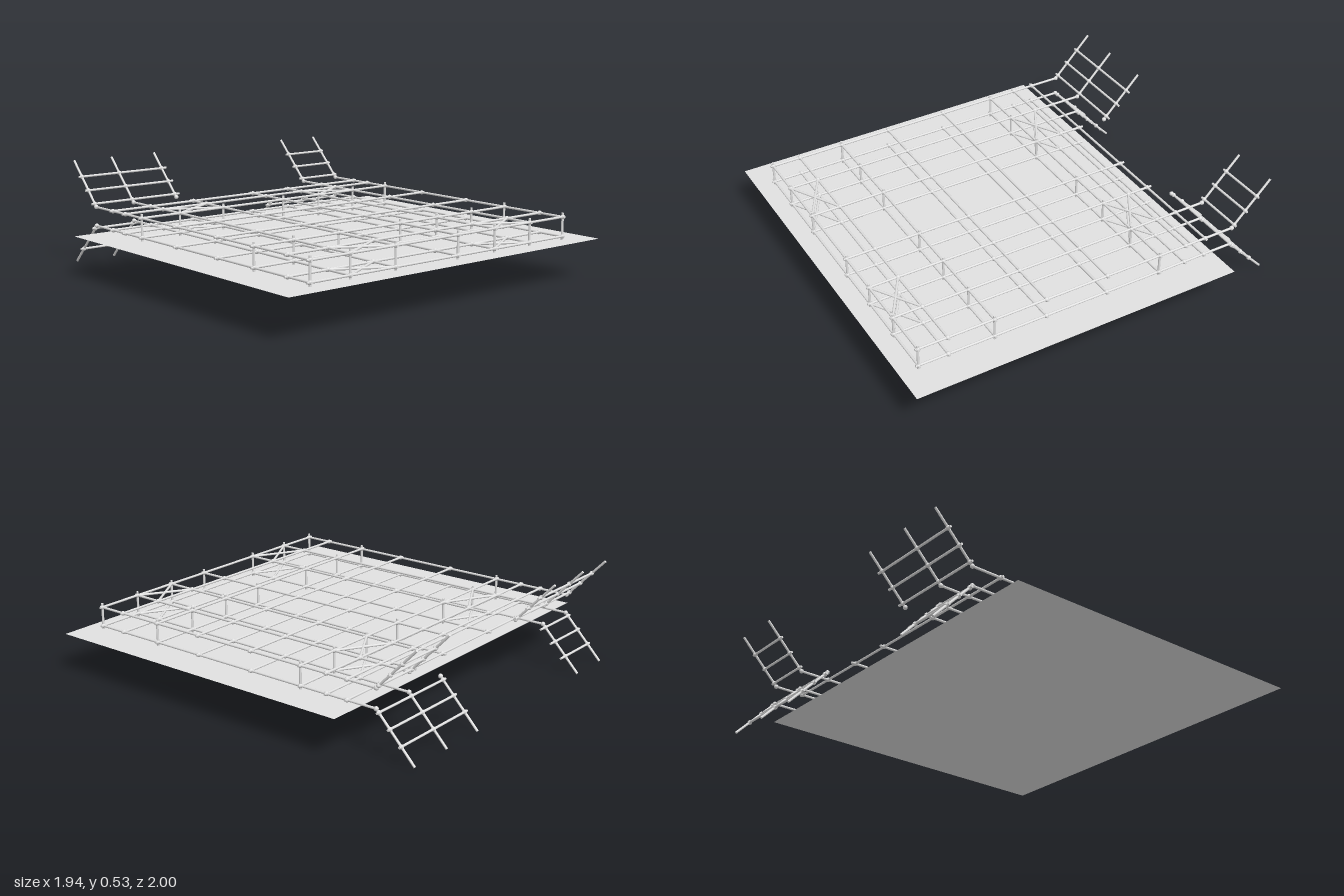
import * as THREE from 'three';

const paleGrey = new THREE.MeshStandardMaterial({ color: 0xe1e1e1, side: THREE.DoubleSide });
paleGrey.name = 'paleGrey';

const R = 0.006;
const LOW = 0.22, HIGH = 0.316, BEND = -0.79;
const XS = [-0.784, -0.562, -0.298, 0.088, 0.329, 0.57, 0.807];
const ZS = [-0.632, -0.518, -0.37, -0.076, 0.252, 0.522, 0.757, 0.905];
const V = (x, y, z) => new THREE.Vector3(x, y, z);
const jointGeometry = new THREE.SphereGeometry(0.0115, 10, 8);

// Round tube between two points
function rod(parent, name, a, b, r = R) {
  const mesh = new THREE.Mesh(new THREE.CylinderGeometry(r, r, a.distanceTo(b), 10), paleGrey);
  mesh.position.copy(a).add(b).multiplyScalar(0.5);
  mesh.quaternion.setFromUnitVectors(V(0, 1, 0), b.clone().sub(a).normalize());
  mesh.name = name;
  parent.add(mesh);
}

// Small clamp where two tubes cross
function joint(parent, p) {
  const mesh = new THREE.Mesh(jointGeometry, paleGrey);
  mesh.position.copy(p);
  mesh.name = 'clamp';
  parent.add(mesh);
}

// One horizontal grid of tubes; rails in longRails run on to the ramps
function layer(name, y, longRails) {
  const g = new THREE.Group();
  g.name = name;
  XS.forEach((x, i) => {
    const back = longRails.includes(i) ? BEND : -0.655;
    rod(g, 'lengthwiseTube', V(x, y, back), V(x, y, 0.918));
    for (const z of ZS) joint(g, V(x, y, z));
  });
  for (const z of ZS) rod(g, 'crosswiseTube', V(-0.802, y, z), V(0.822, y, z));
  // Flat cross braces in four bays
  for (const [a, b] of [[1, 2], [4, 5]]) {
    for (const [c, d] of [[1, 2], [6, 7]]) {
      rod(g, 'crossBrace', V(XS[a], y, ZS[c]), V(XS[b], y, ZS[d]));
      rod(g, 'crossBrace', V(XS[a], y, ZS[d]), V(XS[b], y, ZS[c]));
    }
  }
  return g;
}

// Sloped ladder at the back: dir +1 rises, -1 falls
function ramp(name, y, dir, rails, x0, x1) {
  const g = new THREE.Group();
  g.name = name;
  const at = (x, z) => V(x, y + dir * (BEND - z) * 1.04, z);
  for (const i of rails) {
    rod(g, 'rampRail', at(XS[i], BEND), at(XS[i], -0.996));
    joint(g, at(XS[i], BEND));
  }
  for (const z of [-0.804, -0.863, -0.924]) {
    rod(g, 'rampRung', at(x0, z), at(x1, z));
    for (const i of rails) joint(g, at(XS[i], z));
  }
  return g;
}

export function createModel() {
  const model = new THREE.Group();
  model.name = 'scaffoldFrame';

  // Thin ground sheet under the grid
  const sheet = new THREE.Mesh(new THREE.PlaneGeometry(1.944, 1.692), paleGrey);
  sheet.rotation.x = -Math.PI / 2;
  sheet.position.set(0, 0.202, 0.152);
  sheet.name = 'groundSheet';
  model.add(sheet);

  model.add(layer('lowerGrid', LOW, [0, 1, 5, 6]));
  model.add(layer('upperGrid', HIGH, [0, 1, 5, 6]));

  // Upright posts in three rows
  const posts = new THREE.Group();
  posts.name = 'posts';
  for (const z of [ZS[2], ZS[5], ZS[7]]) {
    for (const x of XS) rod(posts, 'post', V(x, 0.203, z), V(x, 0.336, z));
  }
  model.add(posts);

  model.add(ramp('upperRightRamp', HIGH, 1, [0, 1, 2], -0.802, -0.27));
  model.add(ramp('upperLeftRamp', HIGH, 1, [5, 6], 0.55, 0.822));
  model.add(ramp('lowerRightRamp', LOW, -1, [0, 1], -0.802, -0.517));
  model.add(ramp('lowerLeftRamp', LOW, -1, [4, 5, 6], 0.31, 0.822));
  return model;
}
